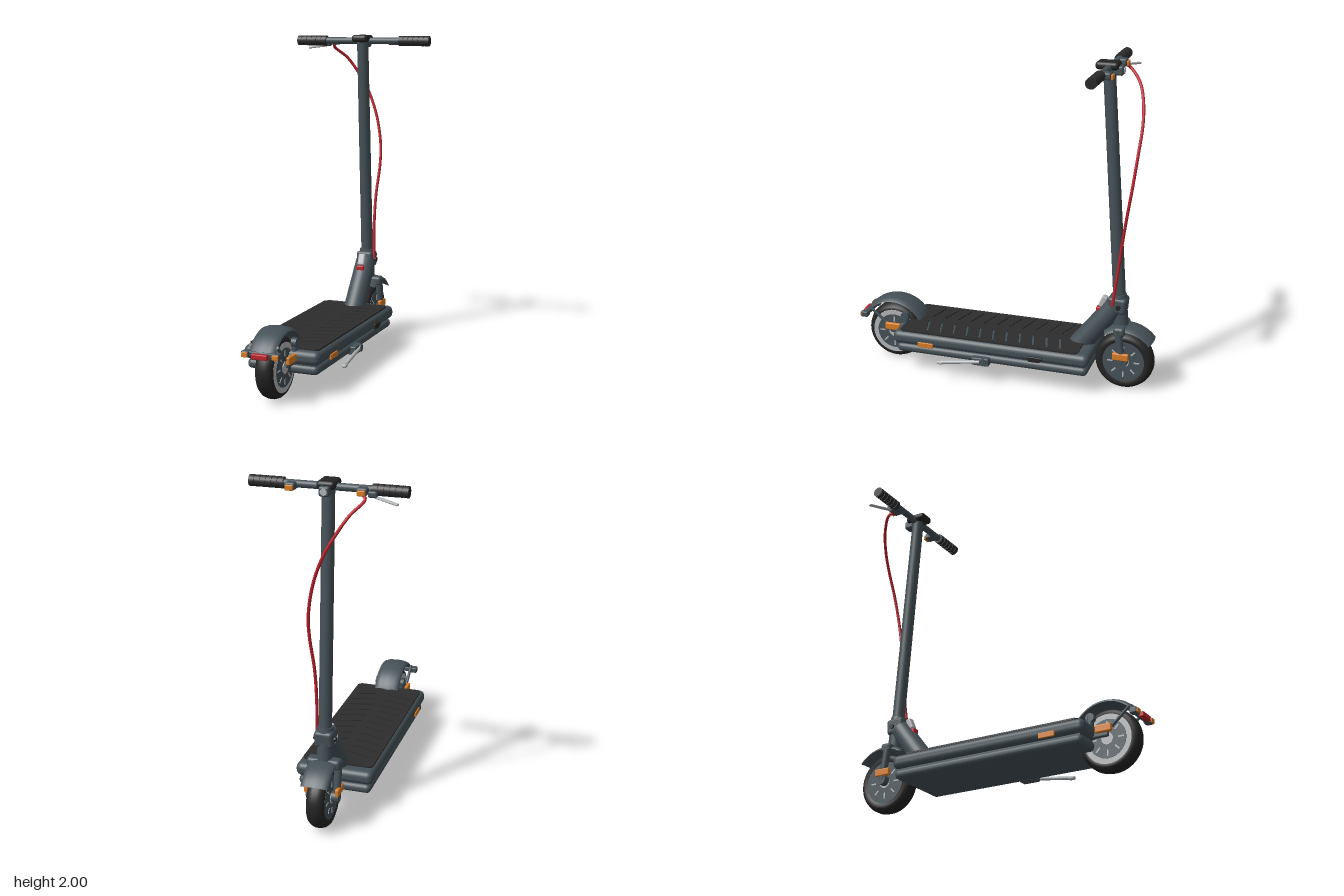
import * as THREE from 'three';
import { RoundedBoxGeometry } from 'three/addons/geometries/RoundedBoxGeometry.js';

const mat = (name, color, side = THREE.FrontSide) => {
  const m = new THREE.MeshStandardMaterial({ color, side });
  m.name = name;
  return m;
};

export function createModel() {
  const frame = mat('slateFrame', 0x455157, THREE.DoubleSide);
  const rubber = mat('blackRubber', 0x242424);
  const grip = mat('matBlack', 0x2d2d2e);
  const silver = mat('lightGrey', 0xb2b5b7);
  const amber = mat('amber', 0xd87c24);
  const red = mat('red', 0xbe222c);

  const root = new THREE.Group();
  root.name = 'kickScooter';
  const V = (x, y, z) => new THREE.Vector3(x, y, z);

  function add(name, geo, m, x = 0, y = 0, z = 0, parent = root) {
    const mesh = new THREE.Mesh(geo, m);
    mesh.name = name;
    mesh.position.set(x, y, z);
    parent.add(mesh);
    return mesh;
  }
  const box = (name, m, w, h, d, x, y, z, r = 0.008, parent = root) =>
    add(name, new RoundedBoxGeometry(w, h, d, 3, Math.min(r, w / 2.01, h / 2.01, d / 2.01)), m, x, y, z, parent);
  // round bar between two points
  function rod(name, m, a, b, r0, r1 = r0, parent = root) {
    const mesh = add(name, new THREE.CylinderGeometry(r1, r0, a.distanceTo(b), 28), m, 0, 0, 0, parent);
    mesh.position.copy(a).add(b).multiplyScalar(0.5);
    mesh.quaternion.setFromUnitVectors(V(0, 1, 0), b.clone().sub(a).normalize());
    return mesh;
  }
  // profile of [radius, x] swept about the x axis; angles run from +z towards +y
  function sweep(name, m, pts, start, length, parent, y = 0, z = 0) {
    const geo = new THREE.LatheGeometry(pts.map(p => new THREE.Vector2(p[0], p[1])), 48, start, length);
    geo.rotateZ(Math.PI / 2);
    return add(name, geo, m, 0, y, z, parent);
  }

  // Wheels
  function wheel(name, z, rimRadius) {
    const g = new THREE.Group();
    g.name = name;
    g.position.set(0, 0.182, z);
    root.add(g);
    const tyre = [[0.125, -0.046], [0.142, -0.053], [0.16, -0.05], [0.174, -0.034], [0.181, -0.012],
      [0.181, 0.012], [0.174, 0.034], [0.16, 0.05], [0.142, 0.053], [0.125, 0.046]];
    sweep('tyre', rubber, tyre, 0, Math.PI * 2, g);
    const disc = (n, m, r, w) => {
      const c = add(n, new THREE.CylinderGeometry(r, r, w, 48), m, 0, 0, 0, g);
      c.rotation.z = Math.PI / 2;
    };
    if (rimRadius) disc('rimRing', silver, rimRadius, 0.108);
    disc('hubDisc', frame, rimRadius ? 0.112 : 0.128, rimRadius ? 0.114 : 0.1);
    const face = rimRadius ? 0.057 : 0.05;
    disc('axleCap', silver, 0.035, face * 2 + 0.008);
    for (const s of [-1, 1]) {
      for (let i = 0; i < 8; i++) {
        const a = (i / 8) * Math.PI * 2;
        const slot = add('spokeMark', new THREE.BoxGeometry(0.004, 0.035, 0.009), silver,
          s * face, Math.cos(a) * 0.082, Math.sin(a) * 0.082, g);
        slot.rotation.x = a;
      }
    }
  }
  wheel('frontWheel', -0.765, 0);
  wheel('rearWheel', 0.72, 0.143);

  // Mudguards
  const guard = [[0.205, -0.082], [0.216, -0.074], [0.225, -0.05], [0.23, 0], [0.225, 0.05],
    [0.216, 0.074], [0.205, 0.082], [0.205, 0.078], [0.216, 0.045], [0.221, 0], [0.216, -0.045],
    [0.205, -0.078], [0.205, -0.082]];
  sweep('rearMudguard', frame, guard, 0.56, 2.05, root, 0.184, 0.72);
  sweep('frontMudguard', frame, guard, 1.0, 1.45, root, 0.182, -0.765);

  // Deck
  box('deckUpper', frame, 0.47, 0.082, 1.25, 0, 0.225, 0.035, 0.034);
  box('deckLower', frame, 0.44, 0.056, 1.22, 0, 0.153, 0.03, 0.026);
  add('deckCore', new THREE.BoxGeometry(0.41, 0.1, 1.19), frame, 0, 0.19, 0.035);

  // Grip mat with chevron grooves
  const plan = new THREE.Shape();
  const w = 0.215, z0 = -0.52, z1 = 0.62, c = 0.02;
  plan.moveTo(-w + c, z0).lineTo(w - c, z0).lineTo(w, z0 + c).lineTo(w, z1 - c)
    .lineTo(w - c, z1).lineTo(-w + c, z1).lineTo(-w, z1 - c).lineTo(-w, z0 + c).closePath();
  for (let i = 0; i < 11; i++) {
    const z = -0.405 + i * 0.0855;
    for (const s of [-1, 1]) {
      const groove = new THREE.Path();
      groove.moveTo(s * 0.178, z - 0.006).lineTo(s * 0.03, z + 0.034)
        .lineTo(s * 0.03, z + 0.046).lineTo(s * 0.178, z + 0.006).closePath();
      plan.holes.push(groove);
    }
  }
  const matGeo = new THREE.ExtrudeGeometry(plan, { depth: 0.01, bevelEnabled: false });
  matGeo.rotateX(Math.PI / 2);
  add('gripMat', matGeo, grip, 0, 0.274, 0);

  // Deck fittings
  for (const s of [-1, 1]) box('sideReflector', amber, 0.012, 0.032, 0.1, s * 0.236, 0.2, 0.44, 0.004);
  box('chargePort', rubber, 0.016, 0.034, 0.075, 0.238, 0.207, -0.26, 0.005);
  box('chargePortTab', rubber, 0.014, 0.02, 0.02, 0.24, 0.212, -0.3, 0.005);
  box('standBracket', frame, 0.06, 0.05, 0.11, 0.222, 0.145, 0.08);
  rod('standPivot', frame, V(0.2, 0.148, 0.06), V(0.262, 0.148, 0.06), 0.022);
  rod('kickstand', silver, V(0.25, 0.15, 0.06), V(0.262, 0.115, 0.33), 0.011);
  box('standFoot', silver, 0.028, 0.02, 0.04, 0.262, 0.112, 0.335, 0.008);

  // Neck, hinge and latch
  rod('neck', frame, V(0, 0.2, -0.45), V(0, 0.52, -0.695), 0.068, 0.064);
  const hinge = box('hingeBlock', frame, 0.11, 0.1, 0.115, 0, 0.535, -0.712, 0.02);
  hinge.rotation.x = -0.08;
  rod('hingeCollar', frame, V(0, 0.56, -0.718), V(0, 0.6, -0.715), 0.052, 0.046);
  rod('hingePin', rubber, V(-0.066, 0.53, -0.725), V(0.066, 0.53, -0.725), 0.014);
  const latch = box('latch', silver, 0.046, 0.075, 0.035, 0, 0.54, -0.622, 0.01);
  latch.rotation.x = -0.4;
  box('latchButton', red, 0.05, 0.032, 0.03, 0, 0.49, -0.597, 0.007);

  // Steering column
  rod('stem', frame, V(0, 0.56, -0.721), V(0, 1.965, -0.618), 0.038, 0.036);

  // Fork
  box('forkCrown', frame, 0.2, 0.06, 0.07, 0, 0.385, -0.74, 0.02);
  rod('steererTube', frame, V(0, 0.38, -0.738), V(0, 0.55, -0.72), 0.045);
  for (const s of [-1, 1]) {
    rod('forkLeg', frame, V(s * 0.08, 0.4, -0.73), V(s * 0.08, 0.19, -0.765), 0.024, 0.021);
    rod('forkEnd', frame, V(s * 0.052, 0.19, -0.765), V(s * 0.096, 0.19, -0.765), 0.032);
    box('forkReflector', amber, 0.024, 0.046, 0.1, s * 0.092, 0.231, -0.755, 0.008);
    // rear dropouts and mudguard stays
    box('rearDropout', frame, 0.022, 0.06, 0.16, s * 0.078, 0.215, 0.66, 0.01);
    box('rearReflector', amber, 0.024, 0.046, 0.1, s * 0.093, 0.231, 0.715, 0.008);
    rod('mudguardStay', frame, V(s * 0.078, 0.24, 0.76), V(s * 0.08, 0.335, 0.87), 0.009);
    rod('mudguardMount', frame, V(s * 0.078, 0.25, 0.63), V(s * 0.078, 0.315, 0.63), 0.02);
    rod('mudguardBolt', frame, V(s * 0.065, 0.308, 0.635), V(s * 0.096, 0.308, 0.635), 0.026);
    // rear turn signals
    box('signalHousing', frame, 0.045, 0.036, 0.045, s * 0.092, 0.295, 0.903, 0.008);
    box('rearSignal', amber, 0.038, 0.028, 0.012, s * 0.092, 0.293, 0.926, 0.004);
  }

  // Tail light
  box('tailLightBar', frame, 0.17, 0.03, 0.03, 0, 0.297, 0.9, 0.008);
  box('tailLight', red, 0.095, 0.03, 0.032, 0, 0.289, 0.921, 0.006);

  // Handlebar
  const hy = 1.963, hz = -0.622;
  rod('handlebar', frame, V(-0.26, hy, hz), V(0.26, hy, hz), 0.021);
  box('display', rubber, 0.105, 0.046, 0.135, 0, 1.977, -0.613, 0.02);
  box('headlightHousing', frame, 0.06, 0.055, 0.06, 0, 1.95, -0.675, 0.012);
  const lamp = rod('headlight', silver, V(0, 1.95, -0.7), V(0, 1.95, -0.709), 0.019);
  lamp.name = 'headlightLens';
  for (const s of [-1, 1]) {
    rod('gripCore', rubber, V(s * 0.245, hy, hz), V(s * 0.446, hy, hz), 0.028);
    for (let i = 0; i < 6; i++) {
      const x = 0.262 + i * 0.0335;
      rod('gripRib', grip, V(s * (x - 0.0145), hy, hz), V(s * (x + 0.0145), hy, hz), 0.032);
    }
    box('controlClamp', frame, 0.06, 0.042, 0.07, s * 0.2, 1.958, -0.645, 0.012);
    box('frontSignal', amber, 0.045, 0.03, 0.016, s * 0.2, 1.953, -0.684, 0.005);
  }

  // Brake lever and cable
  box('leverMount', frame, 0.05, 0.035, 0.05, -0.255, 1.945, -0.645, 0.01);
  const lever = box('brakeLever', silver, 0.16, 0.012, 0.022, -0.335, 1.922, -0.678, 0.005);
  lever.rotation.set(0, -0.42, 0.1);
  const path = new THREE.CatmullRomCurve3([
    V(-0.2, 1.945, -0.665), V(-0.225, 1.925, -0.69), V(-0.16, 1.85, -0.765), V(-0.09, 1.74, -0.803),
    V(-0.03, 1.63, -0.815), V(0.03, 1.47, -0.806), V(0.066, 1.28, -0.787), V(0.068, 1.15, -0.768),
    V(0.052, 0.95, -0.738), V(0.05, 0.75, -0.715), V(0.06, 0.54, -0.69)]);
  add('brakeCable', new THREE.TubeGeometry(path, 90, 0.009, 10), red);

  return root;
}
